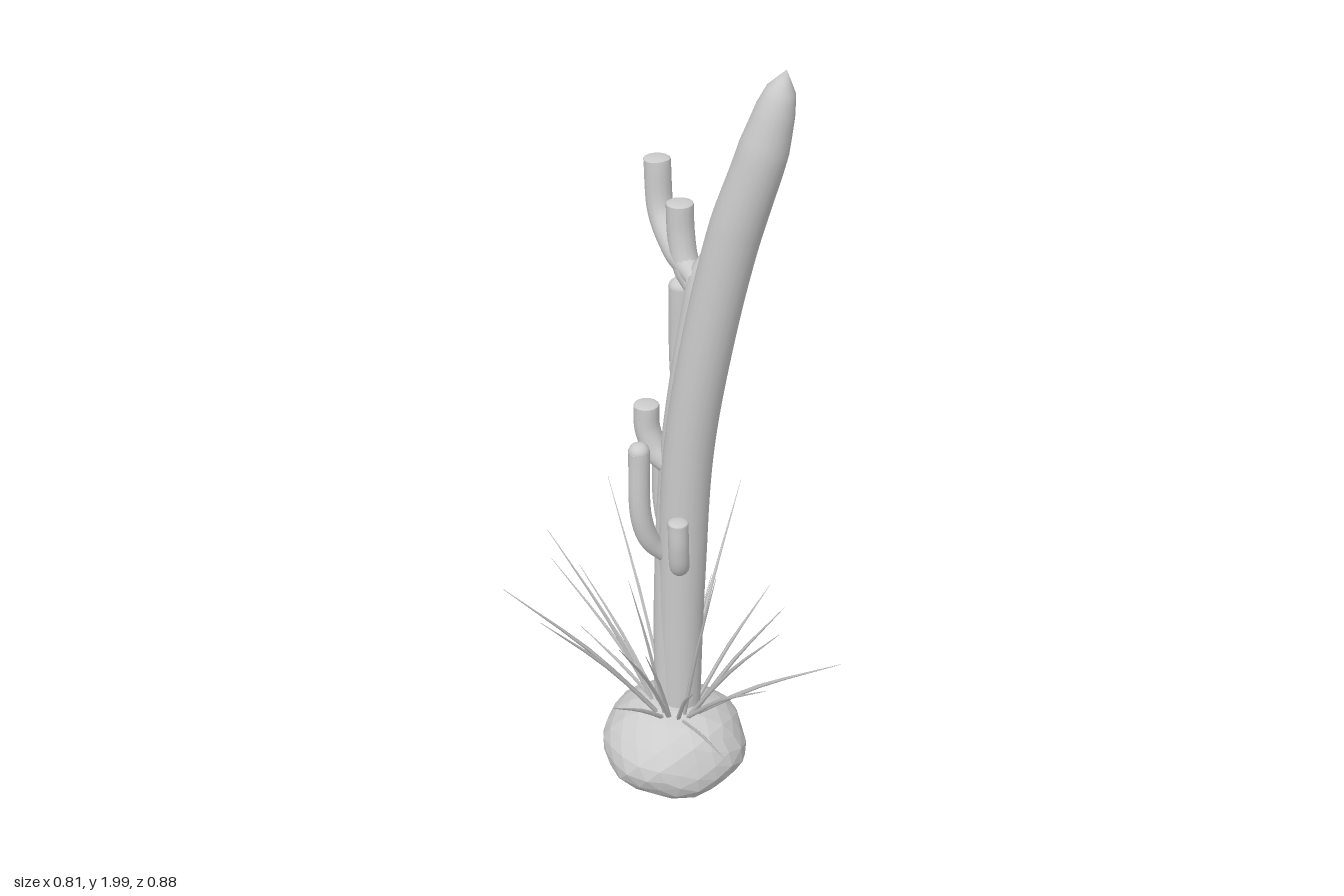
import * as THREE from 'three';
import { mergeVertices } from 'three/addons/utils/BufferGeometryUtils.js';

const grey = new THREE.MeshStandardMaterial({ color: 0xcccccc });
const greyFlat = new THREE.MeshStandardMaterial({ color: 0xcccccc, flatShading: true });
const vec = (p) => new THREE.Vector3(...p);

function add(group, name, geometry, material = grey) {
  const mesh = new THREE.Mesh(geometry, material);
  mesh.name = name;
  group.add(mesh);
  return mesh;
}

// Tube along points whose radius follows [t, radius] stops
function taperedTube(points, stops, segments, sides) {
  const curve = new THREE.CatmullRomCurve3(points.map(vec));
  const geo = new THREE.TubeGeometry(curve, segments, 1, sides);
  const pos = geo.attributes.position;
  const radiusAt = (t) => {
    let i = 1;
    while (i < stops.length - 1 && t > stops[i][0]) i++;
    const [t0, r0] = stops[i - 1], [t1, r1] = stops[i];
    return THREE.MathUtils.lerp(r0, r1, (t - t0) / (t1 - t0));
  };
  const v = new THREE.Vector3();
  for (let i = 0; i <= segments; i++) {
    const t = i / segments, centre = curve.getPointAt(t), r = radiusAt(t);
    for (let j = 0; j <= sides; j++) {
      const k = i * (sides + 1) + j;
      v.fromBufferAttribute(pos, k).sub(centre).multiplyScalar(r).add(centre);
      pos.setXYZ(k, v.x, v.y, v.z);
    }
  }
  geo.deleteAttribute('uv');
  geo.deleteAttribute('normal');
  const merged = mergeVertices(geo, 1e-5);
  merged.computeVertexNormals();
  return merged;
}

// Upturned arm: bent tube closed by a dome or a nearly flat cap
function addArm(group, name, points, r, capHeight) {
  const arm = new THREE.Group();
  arm.name = name;
  add(arm, 'armStem', taperedTube(points, [[0, r * 0.75], [0.25, r], [1, r]], 20, 14));
  const cap = add(arm, 'armCap', new THREE.SphereGeometry(r, 14, 6, 0, Math.PI * 2, 0, Math.PI / 2));
  cap.scale.y = capHeight;
  cap.position.copy(vec(points[points.length - 1]));
  group.add(arm);
}

export function createModel() {
  const model = new THREE.Group();
  model.name = 'cactus';

  // Faceted boulder at the base
  const rock = new THREE.IcosahedronGeometry(1, 3);
  const pos = rock.attributes.position;
  const v = new THREE.Vector3();
  for (let i = 0; i < pos.count; i++) {
    v.fromBufferAttribute(pos, i);
    const bump = 1 + 0.025 * Math.sin(5 * v.x + 3 * v.y) + 0.025 * Math.sin(6 * v.z - 4 * v.y + 1);
    v.multiplyScalar(bump);
    pos.setXYZ(i, v.x * 0.186, Math.max(v.y * 0.13, -0.13) + 0.132, v.z * 0.186 - 0.07);
  }
  rock.computeVertexNormals();
  add(model, 'rock', rock, greyFlat);

  // Tall leaning trunk
  add(model, 'mainTrunk', taperedTube([
    [0.02, 0.18, -0.07], [0.018, 0.6, -0.06], [0.016, 1.0, -0.036], [0.022, 1.3, 0.012],
    [0.038, 1.6, 0.076], [0.055, 1.8, 0.135], [0.078, 2.0, 0.18],
  ], [[0, 0.053], [0.3, 0.06], [0.8, 0.061], [0.9, 0.056], [0.95, 0.044], [0.975, 0.032], [1, 0]], 80, 20));

  // Thinner trunk behind it
  add(model, 'secondTrunk', taperedTube([
    [0.0, 0.18, -0.085], [0.005, 0.6, -0.085], [0.025, 1.0, -0.075], [0.055, 1.3, -0.05], [0.075, 1.53, -0.03],
  ], [[0, 0.04], [0.8, 0.042], [0.92, 0.035], [0.96, 0.026], [1, 0]], 50, 16));

  // Arms: path, radius, cap height relative to radius
  const arms = [
    [[[0.06, 1.45, -0.05], [0.08, 1.49, -0.12], [0.105, 1.56, -0.185], [0.11, 1.685, -0.2]], 0.032, 0.2],
    [[[0.065, 1.41, -0.045], [0.075, 1.47, -0.09], [0.08, 1.54, -0.107], [0.08, 1.61, -0.11]], 0.032, 0.2],
    [[[0.05, 1.02, -0.06], [0.095, 1.06, -0.105], [0.128, 1.17, -0.142], [0.13, 1.37, -0.145]], 0.032, 0.7],
    [[[0.04, 1.02, -0.06], [0.08, 1.06, -0.063], [0.1, 1.17, -0.063], [0.102, 1.37, -0.063]], 0.032, 0.7],
    [[[0.01, 0.95, -0.08], [0.005, 0.98, -0.12], [0, 1.04, -0.147], [0, 1.105, -0.15]], 0.031, 0.2],
    [[[-0.015, 0.71, -0.08], [-0.05, 0.76, -0.1], [-0.073, 0.84, -0.11], [-0.075, 1.025, -0.112]], 0.026, 0.9],
    [[[-0.01, 0.69, -0.04], [-0.045, 0.725, -0.015], [-0.06, 0.79, -0.005], [-0.063, 0.86, -0.004]], 0.025, 0.3],
    [[[0.03, 0.72, -0.08], [0.038, 0.75, -0.115], [0.04, 0.82, -0.133], [0.04, 0.935, -0.135]], 0.026, 0.7],
  ];
  arms.forEach(([path, r, cap], i) => addArm(model, `arm${i + 1}`, path, r, cap));

  // Grass blades fanning out from the foot of the trunks, given by their tips
  const tips = [
    [-0.085, 0.6, -0.4], [-0.19, 0.78, -0.31], [-0.38, 0.72, -0.285], [-0.405, 0.7, -0.145],
    [-0.3, 0.44, -0.02], [-0.25, 0.6, 0.045], [-0.39, 0.72, 0.085], [-0.33, 0.64, 0.255],
    [-0.285, 0.44, 0.32], [-0.2, 0.62, 0.365], [-0.105, 0.71, 0.33], [-0.12, 0.8, 0.155],
    [0, 0.61, 0.435], [0.2, 0.57, 0.08], [0.4, 0.69, -0.165], [0.29, 0.445, -0.175],
    [0.33, 0.69, -0.44], [0.33, 0.62, -0.385], [0.1, 0.77, -0.365], [-0.095, 0.44, -0.3],
    [-0.06, 0.6, -0.33], [-0.04, 0.5, -0.31], [-0.2, 0.75, -0.045], [0.09, 0.62, 0.205],
    [0.16, 0.85, -0.15],
  ];
  const grass = new THREE.Group();
  grass.name = 'grass';
  tips.forEach(([x, y, z]) => {
    const a = Math.atan2(z + 0.065, x);
    const root = [0.05 * Math.cos(a), 0.23, -0.065 + 0.05 * Math.sin(a)];
    const mid = [0.55 * root[0] + 0.45 * x, 0.5 * (root[1] + y), 0.55 * root[2] + 0.45 * z];
    add(grass, 'grassBlade', taperedTube([root, mid, [x, y, z]], [[0, 0.006], [0.5, 0.005], [1, 0.0005]], 6, 4));
  });
  model.add(grass);

  return model;
}
